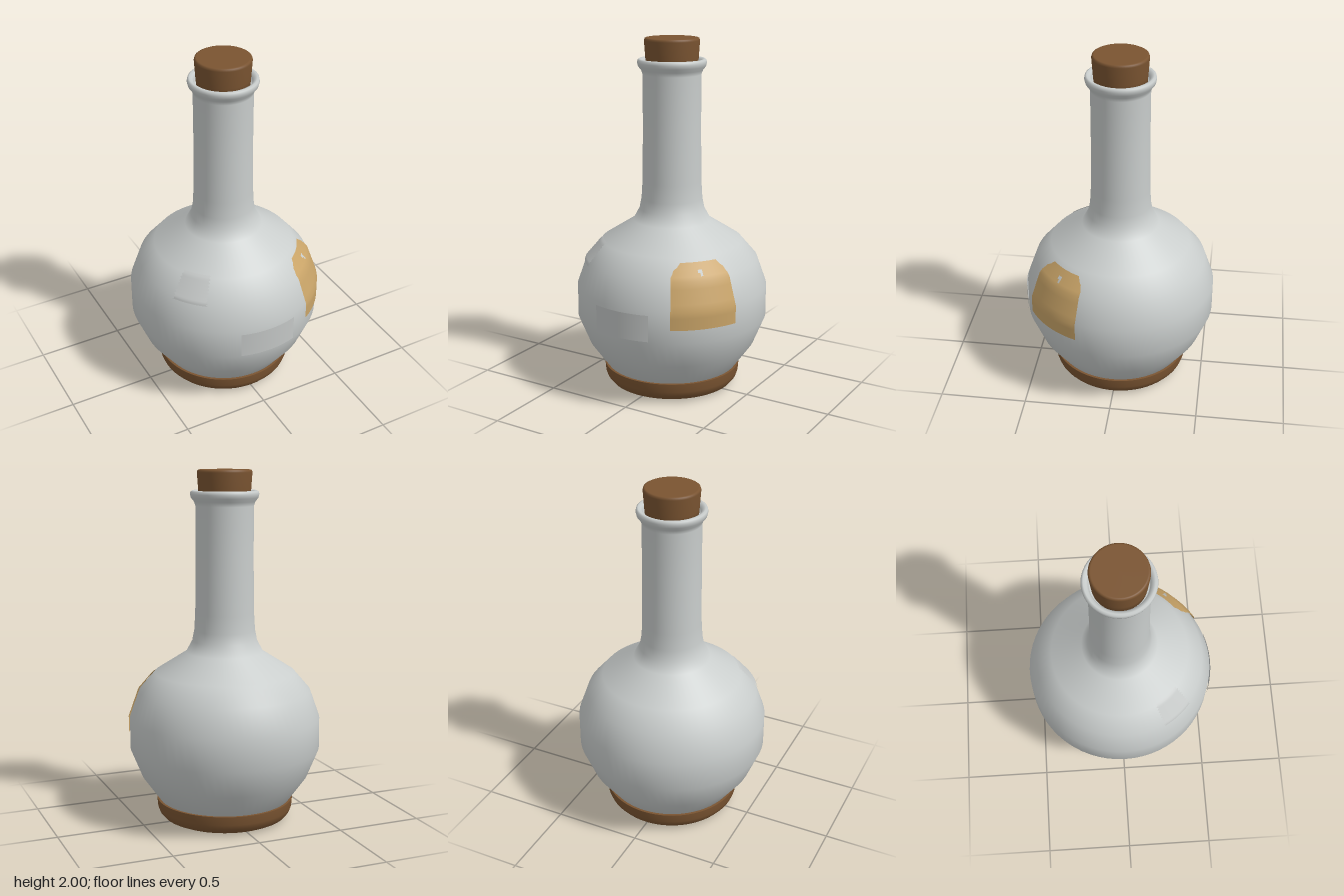
import * as THREE from 'three';

const makeMaterial = (name, color, side = THREE.FrontSide) =>
  Object.assign(new THREE.MeshStandardMaterial({ color, side }), { name });

// Outer wall of the flask as [radius, height]
const WALL = [
  [0.38, 0.12], [0.48, 0.26], [0.545, 0.42], [0.545, 0.6], [0.49, 0.755],
  [0.4, 0.86], [0.22, 0.975], [0.185, 1.04], [0.173, 1.1], [0.167, 1.2], [0.163, 1.5],
  [0.163, 1.8], [0.172, 1.825], [0.188, 1.845], [0.193, 1.865], [0.19, 1.88],
];

// Wall radius at a height
function wallRadius(y) {
  const i = Math.max(1, WALL.findIndex((p) => p[1] >= y));
  const [r0, y0] = WALL[i - 1], [r1, y1] = WALL[i];
  return r0 + ((r1 - r0) * (y - y0)) / (y1 - y0);
}

function lathe(name, points, material) {
  const geometry = new THREE.LatheGeometry(points.map(([r, y]) => new THREE.Vector2(r, y)), 64);
  const mesh = new THREE.Mesh(geometry, material);
  mesh.name = name;
  return mesh;
}

// Thin sheet wrapped on the wall; edges(row) gives its two angles, hole(column, row) skips cells
function wrap(name, material, heights, edges, offset, hole = () => false) {
  const columns = 24, positions = [], index = [];
  heights.forEach((y, row) => {
    const [a, b] = edges(row);
    for (let c = 0; c <= columns; c++) {
      const angle = a + ((b - a) * c) / columns, r = wallRadius(y) + offset;
      positions.push(r * Math.sin(angle), y, r * Math.cos(angle));
      if (row === heights.length - 1 || c === columns || hole(c, row)) continue;
      const k = row * (columns + 1) + c, up = k + columns + 1;
      index.push(k, k + 1, up + 1, k, up + 1, up);
    }
  });
  const geometry = new THREE.BufferGeometry();
  geometry.setAttribute('position', new THREE.Float32BufferAttribute(positions, 3));
  geometry.setIndex(index);
  geometry.computeVertexNormals();
  const mesh = new THREE.Mesh(geometry, material);
  mesh.name = name;
  return mesh;
}

const steps = (from, to, n) => Array.from({ length: n + 1 }, (_, i) => from + ((to - from) * i) / n);

export function createModel() {
  const glass = makeMaterial('pale glass', 0xc9cdcc);
  const wood = makeMaterial('brown cork', 0x7a5431);
  const paper = makeMaterial('tan paper', 0xc9a468, THREE.DoubleSide);
  const tape = makeMaterial('grey tape', 0xc4c7c6, THREE.DoubleSide);
  const model = new THREE.Group();
  model.name = 'flask';

  // Flask with closed bottom and rolled lip
  model.add(lathe('flaskBody', [
    [0, 0.035], [0.15, 0.04], [0.28, 0.065], ...WALL,
    [0.18, 1.886], [0.165, 1.88], [0.155, 1.865], [0.15, 1.83], [0, 1.83],
  ], glass));

  // Ring stand, open in the middle
  model.add(lathe('baseRing', [
    [0.27, 0.1], [0.245, 0.075], [0.235, 0.05], [0.245, 0.025], [0.27, 0.008], [0.3, 0],
    [0.33, 0.004], [0.36, 0.018], [0.38, 0.042], [0.39, 0.07], [0.394, 0.119],
    [0.393, 0.12], [0.37, 0.12],
  ], wood));

  // Cork stopper
  model.add(lathe('corkStopper', [
    [0, 1.8], [0.14, 1.8], [0.147, 1.885], [0.154, 1.985], [0.151, 1.996],
    [0.145, 1.9995], [0.14, 2], [0, 2],
  ], wood));

  // Paper label with trimmed top corners and a small tear
  const labelRows = [...steps(0.5, 0.6, 3), ...steps(0.6, 0.755, 4).slice(1), 0.775, 0.79, 0.805, 0.82, 0.84];
  model.add(wrap('paperLabel', paper, labelRows, (row) => {
    const trim = [0.02, 0.03, 0.08, 0.12][row - (labelRows.length - 4)] ?? 0;
    return [0.527 + trim, 1.22 - trim * 0.75];
  }, 0.008, (c, row) => (row === 9 && c > 10 && c < 13) || (row === 8 && c === 12)));

  // Plain strip on the front
  model.add(wrap('frontStrip', tape, [0.43, 0.48, 0.53, 0.58], () => [-0.31, 0.31], 0.007));

  // Tape patch with zigzag ends on the shoulder
  model.add(wrap('shoulderTape', tape, steps(0.74, 0.87, 18), (row) => {
    const tooth = row % 2 ? 0.025 : 0;
    return [-1.09 + tooth, -0.665 - tooth];
  }, 0.006));

  return model;
}
